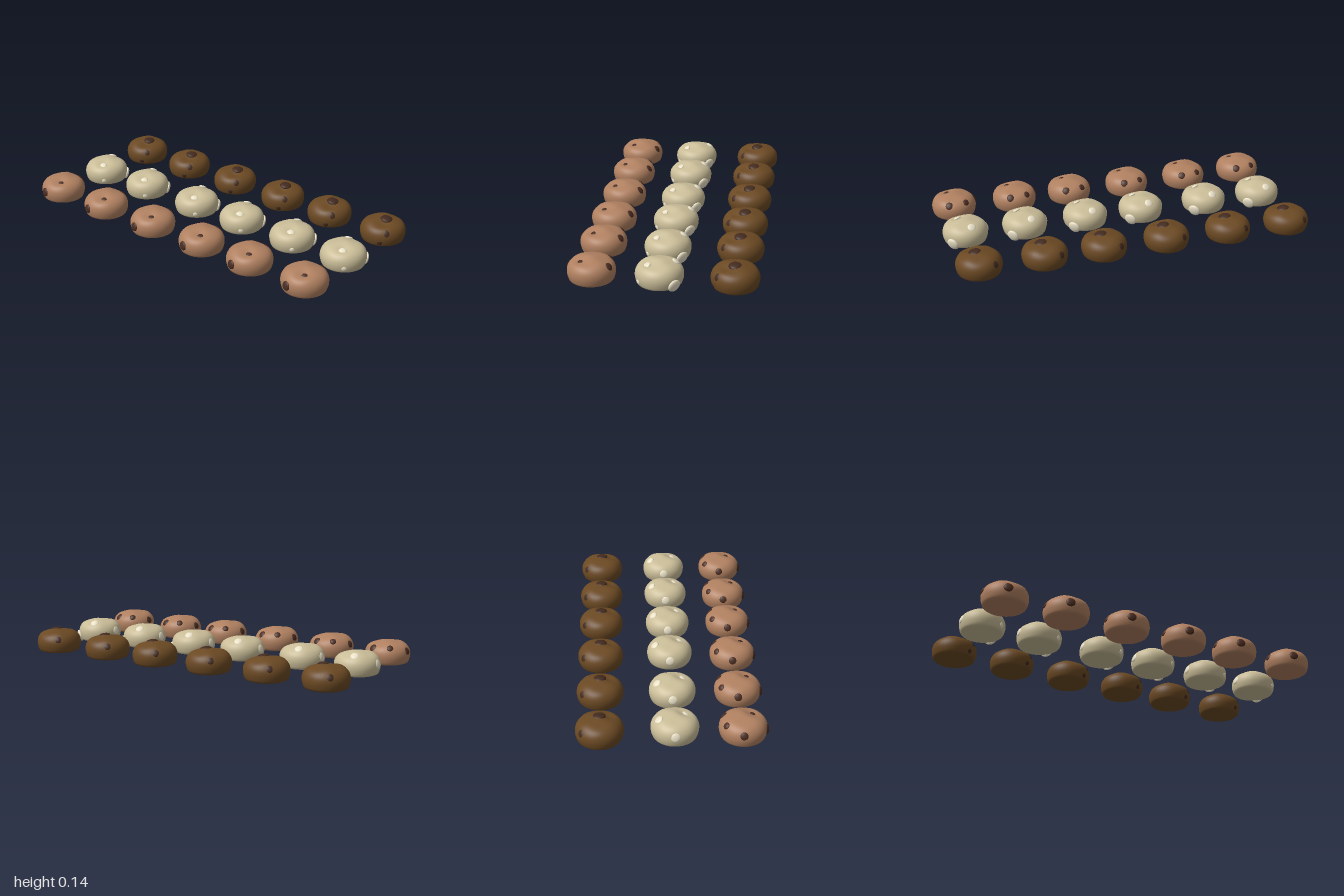
import * as THREE from 'three';

// Smooth domed cookie with a flat base and a shallow dent on top
function doughGeometry() {
  const side = new THREE.CatmullRomCurve3([
    [0.1, 0.01], [0.113, 0.016], [0.121, 0.035], [0.125, 0.06], [0.121, 0.085],
    [0.107, 0.107], [0.083, 0.123], [0.05, 0.133], [0.02, 0.137], [0, 0.137],
  ].map(([r, y]) => new THREE.Vector3(r, y, 0)));
  const profile = [new THREE.Vector2(0, 0.01), new THREE.Vector2(0.06, 0.01)];
  for (const p of side.getPoints(26)) profile.push(new THREE.Vector2(Math.max(p.x, 0), p.y));
  const geo = new THREE.LatheGeometry(profile, 40);
  const pos = geo.attributes.position;
  for (let i = 0; i < pos.count; i++) {
    const x = pos.getX(i), y = pos.getY(i), z = pos.getZ(i);
    const top = THREE.MathUtils.smoothstep(y, 0.07, 0.13);
    const dent = 0.014 * Math.exp(-((x - 0.035) ** 2 + (z - 0.045) ** 2) / 0.0013);
    const lump = 0.003 * Math.sin(x * 45 + 1) * Math.cos(z * 40);
    pos.setY(i, y + top * (lump - dent));
  }
  geo.computeVertexNormals();
  // Join the normals across the lathe seam
  const normal = geo.attributes.normal, n = profile.length;
  for (let j = 0; j < n; j++) {
    const a = new THREE.Vector3().fromBufferAttribute(normal, j);
    const k = 40 * n + j;
    a.add(new THREE.Vector3().fromBufferAttribute(normal, k)).normalize();
    normal.setXYZ(j, a.x, a.y, a.z);
    normal.setXYZ(k, a.x, a.y, a.z);
  }
  return geo;
}

// Each kind: row depth, colours, column positions, chips as [x, y, z, radius]
const kinds = [
  {
    name: 'plainCookie', z: 0.365, dough: 0xb08060, chip: 0x4a2c20,
    xs: [-0.875, -0.525, -0.165, 0.19, 0.52, 0.875],
    chips: [
      [0.035, 0.114, 0.052, 0.017], [-0.03, 0.065, 0.119, 0.025], [-0.117, 0.085, -0.005, 0.021],
      [0.043, 0.1, -0.097, 0.022], [-0.055, 0.107, -0.09, 0.018],
    ],
  },
  {
    name: 'paleCookie', z: 0.017, dough: 0xcabd98, chip: 0xe9e0c6,
    xs: [-0.86, -0.525, -0.14, 0.19, 0.54, 0.875],
    chips: [
      [0.032, 0.114, 0.06, 0.022], [0.072, 0.04, 0.098, 0.014], [0.085, 0.036, -0.085, 0.035],
      [-0.117, 0.075, 0, 0.026], [-0.024, 0.119, -0.082, 0.024],
    ],
  },
  {
    name: 'darkCookie', z: -0.367, dough: 0x6b4923, chip: 0x432a1e,
    xs: [-0.875, -0.525, -0.165, 0.19, 0.52, 0.875],
    chips: [
      [0.02, 0.131, 0, 0.034], [0.074, 0.09, 0.082, 0.022], [-0.068, 0.09, -0.088, 0.022],
      [0.05, 0.036, 0.108, 0.014],
    ],
  },
];

export function createModel() {
  const model = new THREE.Group();
  const dough = doughGeometry();
  const chipGeo = new THREE.SphereGeometry(1, 18, 12);
  const up = new THREE.Vector3(0, 1, 0);

  for (const kind of kinds) {
    const doughMat = new THREE.MeshStandardMaterial({ color: kind.dough });
    const chipMat = new THREE.MeshStandardMaterial({ color: kind.chip });
    kind.xs.forEach((x, i) => {
      const cookie = new THREE.Group();
      cookie.name = `${kind.name}${i + 1}`;
      cookie.position.set(x, 0, kind.z);
      const body = new THREE.Mesh(dough, doughMat);
      body.name = 'dough';
      cookie.add(body);

      // Flattened chips pressed into the dough, facing outward
      for (const [cx, cy, cz, r] of kind.chips) {
        const chip = new THREE.Mesh(chipGeo, chipMat);
        chip.name = 'chip';
        chip.position.set(cx, cy, cz);
        chip.scale.set(r, r * 0.4, r);
        const outward = new THREE.Vector3(cx, (cy - 0.055) * 1.8, cz).normalize();
        chip.quaternion.setFromUnitVectors(up, outward);
        cookie.add(chip);
      }
      model.add(cookie);
    });
  }
  return model;
}
